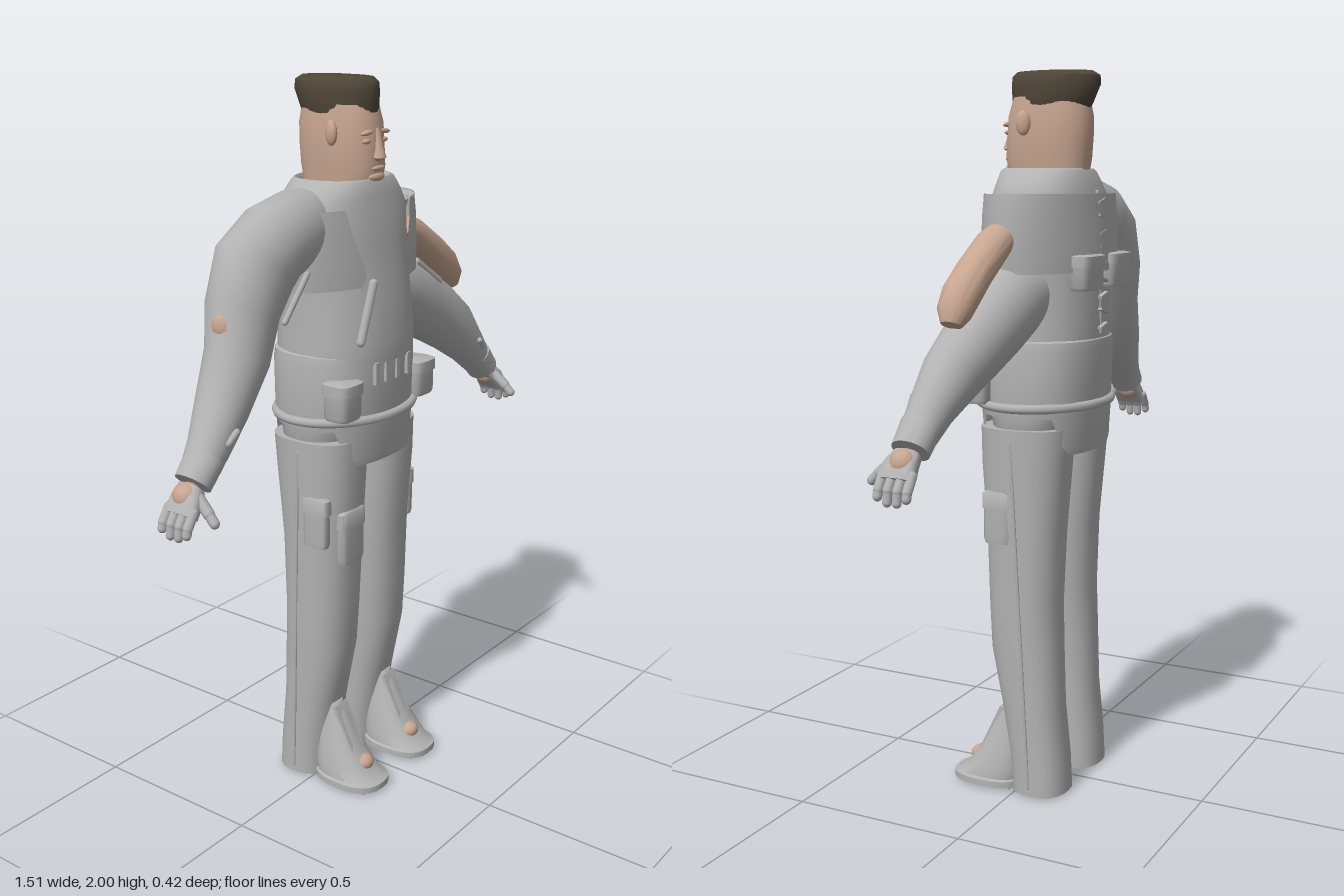
import * as THREE from 'three';
import { toCreasedNormals } from 'three/addons/utils/BufferGeometryUtils.js';

const mat = (name, color, side = THREE.FrontSide) => {
  const m = new THREE.MeshStandardMaterial({ color, side });
  m.name = name;
  return m;
};

export function createModel() {
  const model = new THREE.Group();
  model.name = 'uniformedFigure';
  const cloth = mat('grey cloth', 0xb2b2b2, THREE.DoubleSide);
  const skin = mat('skin', 0xc7a590);
  const felt = mat('dark brown felt', 0x4e4538);

  const add = (name, geo, material = cloth, pos, rot, scale) => {
    const mesh = new THREE.Mesh(geo, material);
    mesh.name = name;
    if (pos) mesh.position.set(...pos);
    if (rot) mesh.rotation.set(...rot);
    if (scale) mesh.scale.set(...scale);
    model.add(mesh);
    return mesh;
  };

  // Skin over rings [x, y, z, radius across, radius in z, front gap in radians].
  // Rings lie flat, or follow the path in the xy plane when path is set.
  function loft(rows, { n = 32, p = 2, path = false, open = false, crease = 0.8 } = {}) {
    const pos = [], idx = [], w = n + 1;
    const pw = v => Math.sign(v) * Math.abs(v) ** (2 / p);
    rows.forEach(([x, y, z, ru, rv, gap = 0], i) => {
      let tx = 0, ty = 1;
      if (path) {
        const a = rows[Math.max(i - 1, 0)], b = rows[Math.min(i + 1, rows.length - 1)];
        const l = Math.hypot(b[0] - a[0], b[1] - a[1]);
        tx = (b[0] - a[0]) / l; ty = (b[1] - a[1]) / l;
      }
      for (let j = 0; j <= n; j++) {
        const t = Math.PI / 2 + gap + (j / n) * (2 * Math.PI - 2 * gap);
        const u = pw(Math.cos(t)) * ru, v = pw(Math.sin(t)) * rv;
        pos.push(x + u * ty, y - u * tx, z + v);
      }
    });
    for (let i = 0; i < rows.length - 1; i++)
      for (let j = 0; j < n; j++) {
        const a = i * w + j, c = a + w;
        idx.push(a, c, a + 1, a + 1, c, c + 1);
      }
    if (!open) {
      const last = (rows.length - 1) * w, k = rows.length * w;
      pos.push(...rows[0].slice(0, 3), ...rows[rows.length - 1].slice(0, 3));
      for (let j = 0; j < n; j++) idx.push(k, j, j + 1, k + 1, last + j + 1, last + j);
    }
    const g = new THREE.BufferGeometry();
    g.setAttribute('position', new THREE.Float32BufferAttribute(pos, 3));
    g.setIndex(idx);
    return toCreasedNormals(g, crease);
  }

  const V = a => new THREE.Vector3(...a);
  const tube = (name, pts, r, m = cloth, closed = false) =>
    add(name, new THREE.TubeGeometry(new THREE.CatmullRomCurve3(pts.map(V), closed), closed ? 64 : 16, r, 8, closed), m);
  const rod = (name, a, b, r, m = cloth) => {
    const d = V(b).sub(V(a));
    const mesh = add(name, new THREE.CapsuleGeometry(r, d.length(), 4, 10), m);
    mesh.position.copy(V(a)).addScaledVector(d, 0.5);
    mesh.quaternion.setFromUnitVectors(new THREE.Vector3(0, 1, 0), d.normalize());
  };
  // Rounded pouch with a lid
  const pouch = (name, x, y, z, w, h, d) => {
    add(name, loft([[x, y - h / 2, z, w * 0.45, d * 0.45], [x, y - h * 0.4, z, w / 2, d / 2], [x, y + h / 2, z, w / 2, d / 2]], { n: 20, p: 4 }));
    add(name + 'Lid', loft([[x, y + h * 0.2, z, w * 0.54, d * 0.56], [x, y + h * 0.5, z, w * 0.54, d * 0.56], [x, y + h * 0.54, z, w * 0.45, d * 0.45]], { n: 20, p: 4 }));
  };

  // Head and face
  add('head', loft([
    [0, 1.66, -0.03, 0.078, 0.105], [0, 1.74, -0.022, 0.08, 0.115], [0, 1.77, -0.022, 0.084, 0.12],
    [0, 1.83, -0.026, 0.086, 0.12], [0, 1.88, -0.028, 0.086, 0.118], [0, 1.93, -0.03, 0.08, 0.105]], { p: 2.3 }), skin);
  add('nose', loft([[0, 1.785, 0.085, 0.012, 0.012], [0, 1.795, 0.09, 0.022, 0.026], [0, 1.82, 0.088, 0.013, 0.02],
    [0, 1.87, 0.082, 0.008, 0.013]], { n: 12 }), skin);
  const ball = new THREE.SphereGeometry(1, 16, 12);
  add('lips', ball, skin, [0, 1.768, 0.094], null, [0.028, 0.008, 0.009]);
  add('chin', ball, skin, [0, 1.745, 0.085], null, [0.035, 0.014, 0.016]);
  for (const s of [1, -1]) {
    add('ear', ball, skin, [s * 0.092, 1.86, 0.01], [0, s * 0.3, 0], [0.013, 0.033, 0.02]);
    add('eye', ball, skin, [s * 0.036, 1.838, 0.083], null, [0.018, 0.007, 0.008]);
    add('brow', ball, skin, [s * 0.036, 1.86, 0.084], [0, 0, -s * 0.1], [0.026, 0.007, 0.009]);
  }

  // Cap, leaning back
  add('cap', loft([
    [0, 1.897, -0.03, 0.08, 0.108], [0, 1.91, -0.032, 0.084, 0.114], [0, 1.96, -0.042, 0.084, 0.128],
    [0, 1.985, -0.043, 0.08, 0.127], [0, 1.997, -0.04, 0.065, 0.11], [0, 2.0, -0.035, 0.03, 0.06]], { p: 1.9 }), felt);

  // Vest, with a rolled open neck
  add('vest', loft([
    [0, 1.26, -0.012, 0.195, 0.165], [0, 1.32, -0.012, 0.195, 0.167], [0, 1.45, -0.018, 0.19, 0.158], [0, 1.58, -0.025, 0.2, 0.145],
    [0, 1.66, -0.027, 0.205, 0.138], [0, 1.7, -0.025, 0.185, 0.125], [0, 1.735, -0.022, 0.15, 0.117],
    [0, 1.742, -0.022, 0.135, 0.112], [0, 1.73, -0.022, 0.118, 0.105], [0, 1.66, -0.022, 0.1, 0.1]], { p: 2.4 }));
  add('chestBand', loft([
    [0, 1.47, -0.03, 0.275, 0.162, 0.3], [0, 1.53, -0.03, 0.28, 0.16, 0.35],
    [0, 1.62, -0.03, 0.282, 0.152, 0.48], [0, 1.675, -0.03, 0.275, 0.148, 0.55]], { n: 48, open: true }));
  add('chestBandLining', loft([
    [0, 1.672, -0.03, 0.275, 0.148, 0.55], [0, 1.665, -0.03, 0.255, 0.135, 0.55], [0, 1.56, -0.03, 0.2, 0.13, 0.45]], { n: 48, open: true }));
  rod('chestStrap', [-0.078, 1.48, 0.137], [-0.13, 1.33, 0.135], 0.012);

  // Back lacing and back pouches
  rod('backSeam', [0, 1.3, -0.178], [0, 1.68, -0.166], 0.005);
  for (let i = 0; i < 9; i++)
    add('lace', new THREE.BoxGeometry(0.045, 0.007, 0.012), cloth, [0, 1.32 + i * 0.042, -0.186 + (i > 4 ? (i - 4) * 0.002 : 0)], [0, 0, i % 2 ? 0.25 : -0.25]);
  for (const s of [1, -1]) pouch('backPouch', s * 0.088, 1.468, -0.177, 0.125, 0.09, 0.06);

  // Waist wrap, hips and round belt
  add('waistWrap', loft([
    [0, 1.08, -0.018, 0.2, 0.155], [0, 1.12, -0.018, 0.206, 0.16], [0, 1.26, -0.018, 0.204, 0.165],
    [0, 1.285, -0.018, 0.2, 0.163], [0, 1.295, -0.018, 0.18, 0.15]], { p: 2.5 }));
  add('hips', loft([[0, 0.99, -0.02, 0.17, 0.1], [0, 1.05, -0.02, 0.205, 0.12], [0, 1.12, -0.02, 0.2, 0.145]], { p: 2.5 }));
  const ring = [];
  for (let i = 0; i < 16; i++) {
    const t = i * Math.PI / 8;
    ring.push([0.222 * Math.cos(t), 1.11, -0.015 + 0.17 * Math.sin(t)]);
  }
  tube('belt', ring, 0.013, cloth, true);
  for (const [name, z, turn] of [['frontFlap', -0.015, 0], ['backFlap', -0.02, Math.PI]]) {
    const flap = add(name, loft([
      [0, 0.978, 0, 0.19, 0.148, 2.5], [0, 1.0, 0, 0.2, 0.152, 2.38], [0, 1.1, 0, 0.205, 0.158, 2.1]], { n: 20, p: 2.5, open: true }));
    flap.position.z = z;
    flap.rotation.y = Math.PI - turn;
  }
  pouch('rightBeltPouch', -0.17, 1.175, 0.105, 0.09, 0.1, 0.08);
  pouch('leftBeltPouch', 0.18, 1.165, 0.1, 0.09, 0.1, 0.08);
  for (const x of [-0.075, -0.03, 0.02, 0.07])
    add('beltLoop', new THREE.BoxGeometry(0.014, 0.06, 0.012), cloth, [x, 1.235, 0.146]);

  // Legs, shoes and bare patches
  for (const s of [1, -1]) {
    const x = s * 0.115;
    add('trouserLeg', loft([
      [x, 0.005, -0.06, 0.085, 0.08], [x, 0.1, -0.055, 0.085, 0.08], [x, 0.25, -0.035, 0.086, 0.085],
      [x, 0.42, -0.015, 0.09, 0.1], [s * 0.113, 0.55, -0.01, 0.097, 0.1], [s * 0.11, 0.75, -0.01, 0.1, 0.108],
      [s * 0.112, 0.95, -0.012, 0.106, 0.124], [s * 0.114, 1.05, -0.015, 0.107, 0.128]], { p: 2.4 }));
    rod('sideSeam', [s * 0.199, 0.03, -0.055], [s * 0.218, 1.02, -0.012], 0.004);
    const f = s * 0.12;
    add('shoe', loft([
      [f, 0.008, 0.1, 0.082, 0.11], [f, 0.026, 0.1, 0.082, 0.11], [f, 0.03, 0.095, 0.074, 0.1], [f, 0.06, 0.075, 0.07, 0.085],
      [f, 0.12, 0.055, 0.055, 0.062], [f, 0.2, 0.035, 0.036, 0.045], [f, 0.24, 0.025, 0.028, 0.03]], { n: 24, p: 2.5 }));
    for (let i = 0; i < 5; i++)
      add('soleTread', new THREE.BoxGeometry(0.11, 0.01, 0.022), cloth, [f, 0.005, 0.03 + i * 0.035]);
    add('shoeTongue', new THREE.BoxGeometry(0.058, 0.17, 0.012), cloth, [f, 0.155, 0.092], [-0.45, 0, 0]);
    add('bareInstep', ball, skin, [s * 0.115, 0.068, 0.14], null, [0.03, 0.024, 0.028]);
  }
  add('bareSeat', ball, skin, [0, 1.0, -0.09], null, [0.03, 0.03, 0.035]);
  pouch('thighPocket', -0.12, 0.77, 0.092, 0.1, 0.15, 0.036);
  pouch('leftSidePocket', 0.198, 0.8, 0.035, 0.035, 0.14, 0.08);
  pouch('rightSidePocket', -0.198, 0.82, 0.035, 0.035, 0.14, 0.08);

  // Raised right sleeve and slipped left sleeve
  add('rightSleeve', loft([
    [-0.16, 1.63, -0.02, 0.095, 0.08], [-0.2, 1.625, -0.02, 0.105, 0.095], [-0.3, 1.6, -0.02, 0.11, 0.1], [-0.37, 1.55, -0.02, 0.122, 0.098],
    [-0.42, 1.45, -0.02, 0.102, 0.092], [-0.455, 1.34, -0.01, 0.09, 0.082], [-0.53, 1.225, 0.0, 0.072, 0.07],
    [-0.6, 1.14, 0.015, 0.055, 0.056], [-0.65, 1.085, 0.02, 0.045, 0.046]], { path: true }));
  add('bareElbow', ball, skin, [-0.5, 1.42, -0.01], [0, 0, 0.2], [0.03, 0.045, 0.035]);
  add('leftSleeve', loft([
    [0.14, 1.42, -0.015, 0.09, 0.09], [0.22, 1.395, -0.015, 0.105, 0.095], [0.32, 1.345, -0.015, 0.104, 0.09], [0.42, 1.29, -0.01, 0.095, 0.085],
    [0.5, 1.235, 0.0, 0.085, 0.076], [0.58, 1.155, 0.015, 0.06, 0.058], [0.65, 1.085, 0.02, 0.045, 0.046]], { path: true }));
  add('bareLeftArm', loft([
    [0.24, 1.575, -0.008, 0.035, 0.045], [0.3, 1.545, -0.008, 0.045, 0.05], [0.4, 1.48, -0.008, 0.048, 0.05],
    [0.465, 1.43, -0.008, 0.05, 0.05], [0.5, 1.39, -0.008, 0.043, 0.045], [0.515, 1.36, -0.008, 0.025, 0.028]], { path: true }), skin);
  rod('leftSleeveSeam', [0.27, 1.47, 0.035], [0.37, 1.4, 0.045], 0.012);
  rod('rightSleeveSeam', [-0.28, 1.53, 0.077], [-0.36, 1.42, 0.068], 0.008);

  // Cuffs and gloved hands
  for (const s of [1, -1]) {
    rod('cuffTab', [s * 0.56, 1.185, 0.076], [s * 0.585, 1.16, 0.07], 0.009);
    add('cuff', loft([[s * 0.615, 1.125, 0.02, 0.05, 0.053], [s * 0.665, 1.07, 0.022, 0.046, 0.05]], { path: true, n: 24 }));
    add('bareWrist', ball, skin, [s * 0.69, 1.045, 0.025], [0, 0, s * 0.75], [0.036, 0.036, 0.038]);
    add('palm', loft([
      [s * 0.672, 1.062, 0.025, 0.026, 0.035], [s * 0.695, 1.04, 0.03, 0.026, 0.045],
      [s * 0.72, 1.005, 0.03, 0.02, 0.05]], { path: true, n: 20, p: 3 }));
    for (let i = 0; i < 4; i++) {
      const z = -0.012 + i * 0.027, k = i === 0 || i === 3 ? 0.012 : 0;
      rod('fingerBase', [s * 0.715, 1.02, z], [s * 0.738, 0.985, z], 0.013);
      rod('fingerTip', [s * 0.738, 0.985, z], [s * 0.742, 0.957 + k, z], 0.012);
    }
    rod('thumbBase', [s * 0.685, 1.045, 0.06], [s * 0.69, 1.015, 0.095], 0.015);
    rod('thumbTip', [s * 0.69, 1.015, 0.095], [s * 0.692, 0.995, 0.115], 0.013);
  }
  return model;
}
